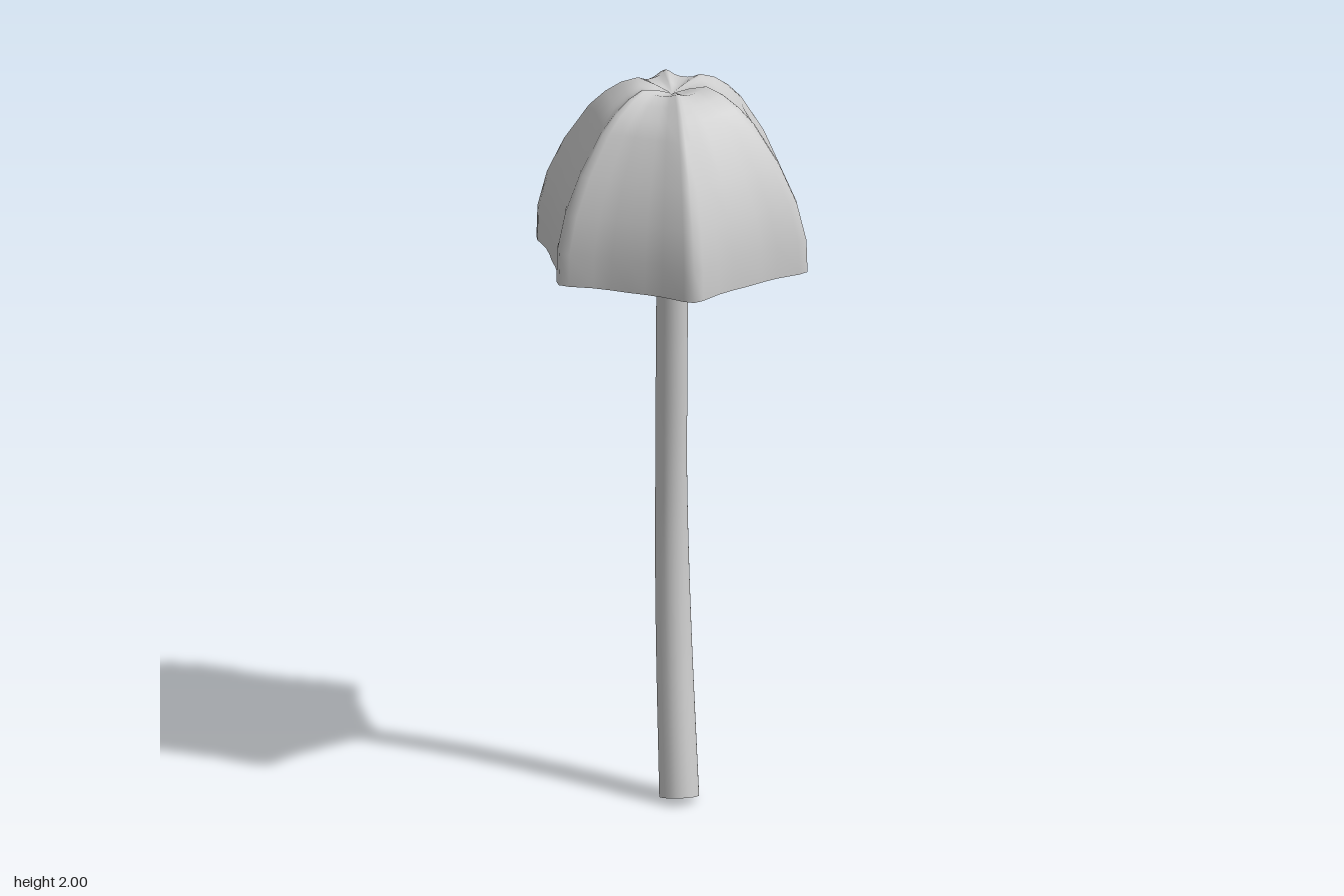
import * as THREE from 'three';
import { mergeVertices } from 'three/addons/utils/BufferGeometryUtils.js';

const material = () => new THREE.MeshStandardMaterial({ color: 0xcccccc, side: THREE.DoubleSide });

// Six-ribbed bell: a lathe whose rings are pinched into a rounded hexagon
function createCap() {
  const profile = [
    [0.389, 1.51], [0.386, 1.6], [0.359, 1.7], [0.31, 1.8], [0.238, 1.905],
    [0.192, 1.95], [0.146, 1.982], [0.1, 2.0], [0.05, 1.988], [0, 1.968],
  ].map(([r, y]) => new THREE.Vector2(r, y));
  const ribs = 6, perRib = 8;

  // One rib-to-rib span: angle in degrees and radius relative to the rib
  const angles = [0, 4, 13, 21.5, 30, 38.5, 47, 56];
  const ratios = [1, 0.969, 0.877, 0.843, 0.838, 0.843, 0.877, 0.969];

  let geometry = new THREE.LatheGeometry(profile, ribs * perRib);
  const pos = geometry.attributes.position;
  for (let i = 0; i < pos.count; i++) {
    const column = Math.floor(i / profile.length) % (ribs * perRib);
    const point = profile[i % profile.length];
    const k = column % perRib;
    const angle = THREE.MathUtils.degToRad(Math.floor(column / perRib) * 60 + angles[k]);
    const r = point.x * ratios[k];
    // Grooves between the ribs sink slightly around the crown
    const crown = point.x > 0 ? THREE.MathUtils.smoothstep(point.y, 1.9, 1.98) : 0;
    const dip = 0.012 * crown * (1 - ratios[k]) / (1 - 0.838);
    pos.setXYZ(i, r * Math.sin(angle), point.y - dip, r * Math.cos(angle));
  }
  geometry.deleteAttribute('uv');
  geometry.deleteAttribute('normal');
  geometry = mergeVertices(geometry, 1e-5);
  geometry.computeVertexNormals();

  const cap = new THREE.Mesh(geometry, material());
  cap.name = 'cap';
  return cap;
}

// Curved hollow stem, a little thicker at its foot
function createStem() {
  const path = new THREE.CatmullRomCurve3([
    [0.126, 0.013], [0.035, 0.42], [-0.004, 0.7], [-0.013, 0.92],
    [-0.003, 1.25], [0.007, 1.5], [0.004, 1.96],
  ].map(([z, y]) => new THREE.Vector3(0, y, z)));
  const rings = 24, sides = 20;

  const geometry = new THREE.TubeGeometry(path, rings, 1, sides);
  const pos = geometry.attributes.position;
  const v = new THREE.Vector3();
  for (let i = 0; i < pos.count; i++) {
    const t = Math.floor(i / (sides + 1)) / rings;
    const centre = path.getPointAt(t);
    const radius = 0.043 + 0.011 * Math.max(0, 1 - t / 0.45);
    v.fromBufferAttribute(pos, i).sub(centre).multiplyScalar(radius).add(centre);
    pos.setXYZ(i, v.x, v.y, v.z);
  }

  const stem = new THREE.Mesh(geometry, material());
  stem.name = 'stem';
  return stem;
}

export function createModel() {
  const mushroom = new THREE.Group();
  mushroom.name = 'mushroom';
  mushroom.add(createCap(), createStem());
  // The stem bends, and one rib points, towards the front left
  mushroom.rotation.y = THREE.MathUtils.degToRad(35);

  const model = new THREE.Group();
  model.add(mushroom);
  return model;
}
